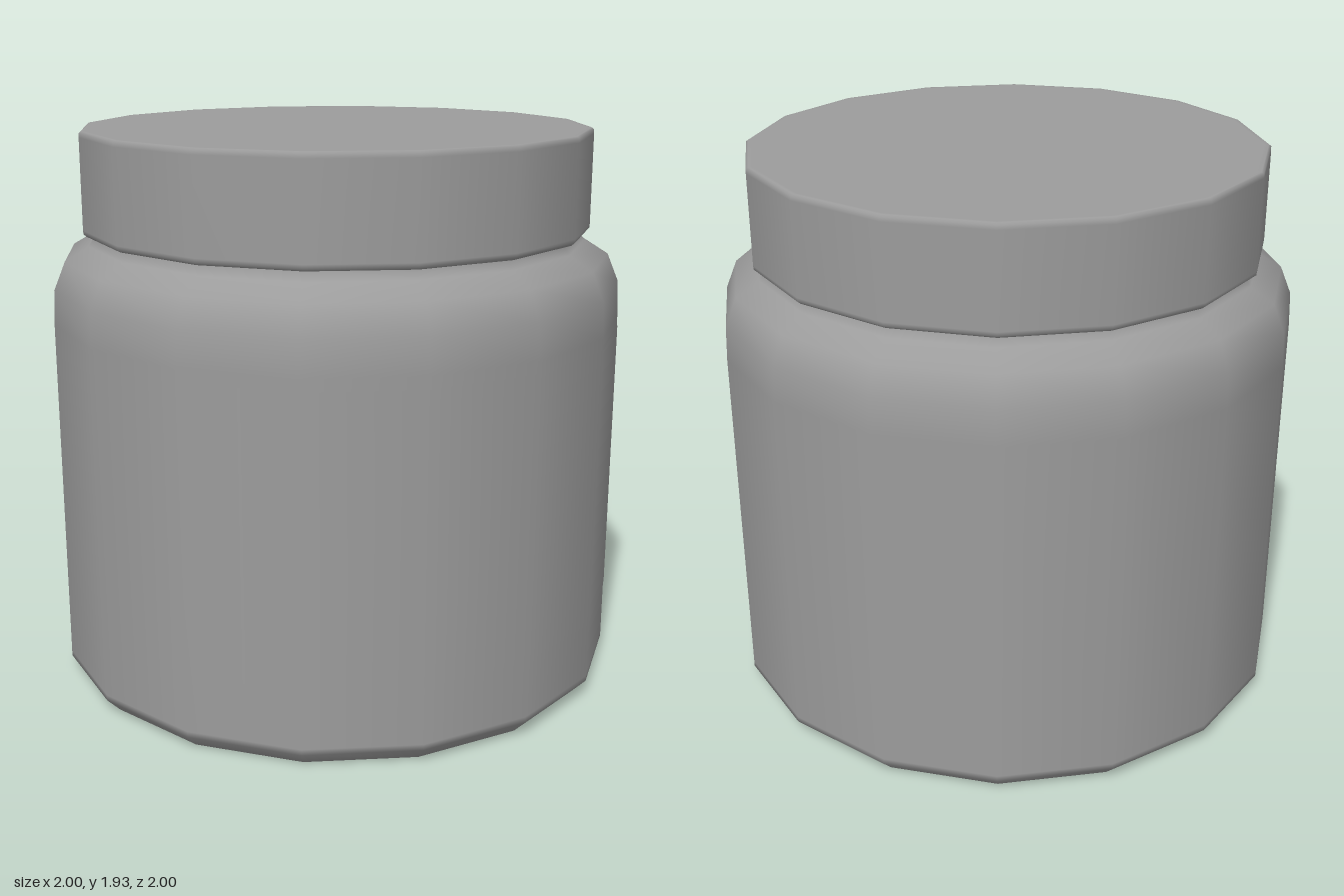
import * as THREE from 'three';

const SIDES = 16;
const material = new THREE.MeshStandardMaterial({ color: 0x9c9c9c, side: THREE.DoubleSide });

// Smooth turned part from [radius, height] pairs, bottom to top
function turned(name, profile) {
  const points = profile.map(([r, y]) => new THREE.Vector2(r, y));
  const mesh = new THREE.Mesh(new THREE.LatheGeometry(points, SIDES), material);
  mesh.name = name;
  return mesh;
}

// Thin label wrapped over the front facets, ending partway across one on each side
function wrapLabel(bottom, top, radius) {
  const step = (Math.PI * 2) / SIDES;
  const columns = [-2.5, -2, -1, 0, 1, 2, 2.5];
  const geometry = new THREE.PlaneGeometry(1, 1, columns.length - 1, 1);
  const { position, normal } = geometry.attributes;
  for (let i = 0; i < position.count; i++) {
    const c = columns[i % columns.length];
    const angle = c * step;
    const r = radius * (Number.isInteger(c) ? 1 : Math.cos(step / 2));
    position.setXYZ(i, r * Math.sin(angle), i < columns.length ? top : bottom, r * Math.cos(angle));
    normal.setXYZ(i, Math.sin(angle), 0, Math.cos(angle));
  }
  const mesh = new THREE.Mesh(geometry, material);
  mesh.name = 'label';
  return mesh;
}

export function createModel() {
  const model = new THREE.Group();
  model.name = 'jar';

  model.add(
    // Body: flat base, chamfered foot, straight wall, rounded shoulder, neck up to the lid
    turned('body', [
      [0, 0], [0.94, 0], [0.95, 0], [0.998, 0.05], [0.998, 0.07], [0.998, 1.28],
      [0.993, 1.4], [0.953, 1.497], [0.87, 1.545], [0.852, 1.57], [0.85, 1.6],
    ]),
    wrapLabel(0.27, 1.24, 1),
    // Lid: narrow rim resting around the neck, wall with tiny bevels, flat top
    turned('lid', [
      [0.845, 1.578], [0.875, 1.578], [0.886, 1.587], [0.887, 1.6],
      [0.887, 1.91], [0.886, 1.924], [0.878, 1.93], [0.865, 1.93], [0, 1.93],
    ]),
  );
  return model;
}
